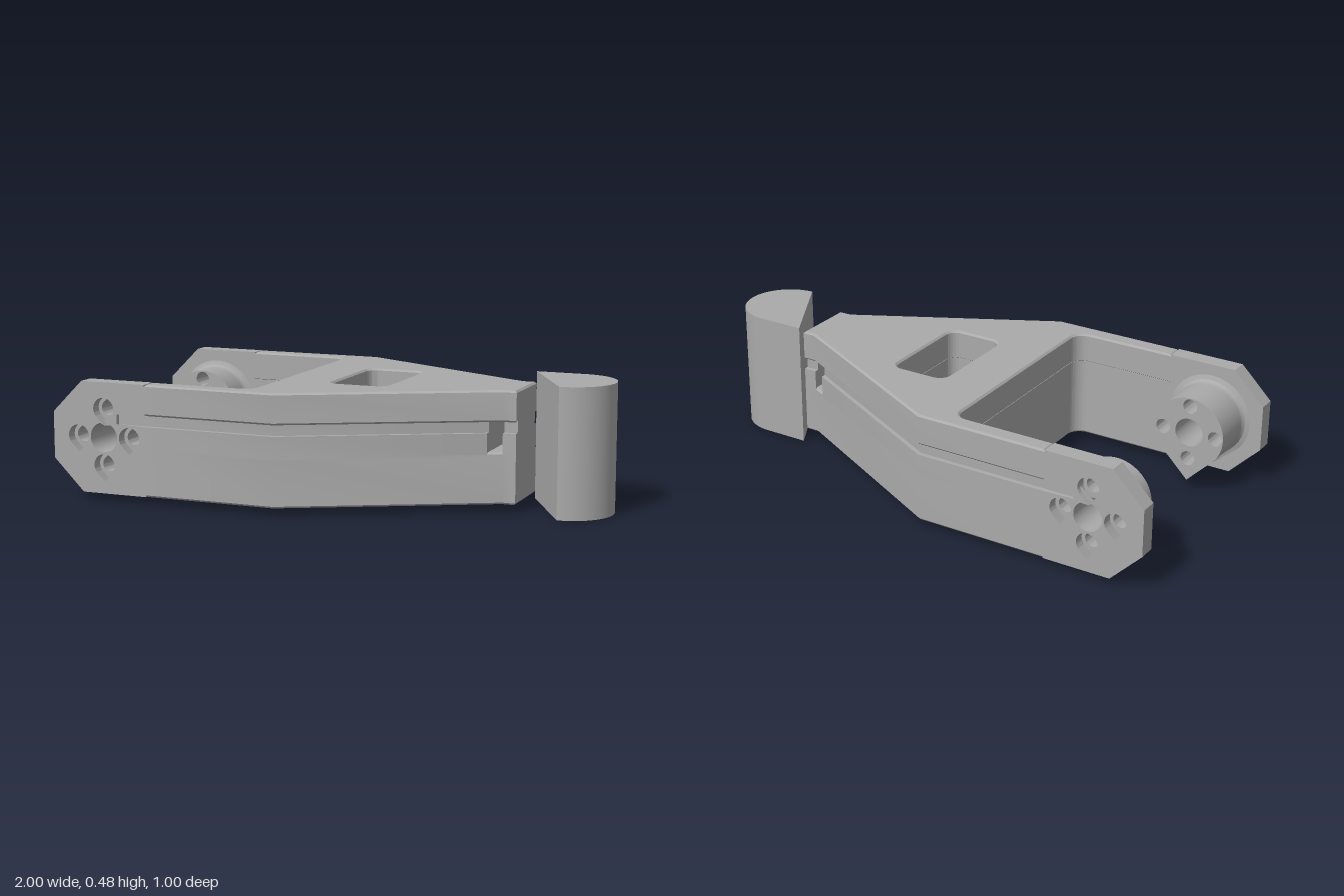
import * as THREE from 'three';
import { toCreasedNormals } from 'three/addons/utils/BufferGeometryUtils.js';

const PIVOT = { x: -0.79, y: 0.24 };   // centre of the bolt pattern
const ARM_IN = 0.435, ARM_OUT = 0.5;   // arm thickness range in z
const GROOVE = 0.018, BORE = 0.04;     // groove and counterbore depths
const JOIN = -0.62;                    // where the arm ends meet the frame

// Circle with a pointed tip, up (dir 1) or down (dir -1)
function teardrop(Type, x, y, r, dir, tip = Math.SQRT2) {
  const p = new Type();
  const a = Math.acos(1 / tip), mid = dir * Math.PI / 2;
  p.absarc(x, y, r, mid + a, mid - a + Math.PI * 2, false);
  p.lineTo(x, y + dir * r * tip);
  p.closePath();
  return p;
}

function circle(x, y, r) {
  return new THREE.Path().absarc(x, y, r, 0, Math.PI * 2, true);
}

// Four bolt positions around the pivot
function boltHoles(make) {
  return [0, 1, 2, 3].map(i => make(
    PIVOT.x + 0.105 * Math.cos(i * Math.PI / 2),
    PIVOT.y + 0.105 * Math.sin(i * Math.PI / 2)));
}

// Half width of the frame along x
function halfWidth(x) {
  return x < -0.11 ? 0.5 : Math.max(0.12, 0.5 - (x + 0.11) * 0.38 / 0.73);
}

// Forked, tapering plan outline with the light opening
function framePlan(inset, xEnd) {
  const s = new THREE.Shape();
  const xs = [JOIN, -0.11, Math.min(0.62, xEnd)];
  if (xEnd > 0.62) xs.push(xEnd);
  const side = xs.map(x => [x, halfWidth(x) - inset]);
  s.moveTo(JOIN, -ARM_OUT + inset);
  side.slice(1).forEach(([x, z]) => s.lineTo(x, -z));
  side.slice().reverse().forEach(([x, z]) => s.lineTo(x, z));
  s.lineTo(JOIN, ARM_IN);
  s.absarc(-0.27, ARM_IN - 0.05, 0.05, Math.PI / 2, 0, true);
  s.absarc(-0.27, -ARM_IN + 0.05, 0.05, 0, -Math.PI / 2, true);
  s.lineTo(JOIN, -ARM_IN);
  s.closePath();
  const h = new THREE.Path(), r = 0.04;
  h.absarc(0.2 - r, 0.2 - r, r, 0, Math.PI / 2);
  h.absarc(-0.02 + r, 0.2 - r, r, Math.PI / 2, Math.PI);
  h.absarc(-0.02 + r, -0.2 + r, r, Math.PI, Math.PI * 1.5);
  h.absarc(0.2 - r, -0.2 + r, r, Math.PI * 1.5, Math.PI * 2);
  h.closePath();
  s.holes.push(h);
  return s;
}

// Side outline of an arm end, optionally notched for the groove
function armEnd(notched, holes) {
  const pts = [[-0.88, 0.03], [JOIN, 0.03]];
  if (notched) pts.push([JOIN, 0.29], [-0.735, 0.29], [-0.735, 0.33], [JOIN, 0.33]);
  pts.push([JOIN, 0.445], [-0.88, 0.445], [-1, 0.325], [-1, 0.15]);
  const s = new THREE.Shape(pts.map(p => new THREE.Vector2(...p)));
  s.holes.push(circle(PIVOT.x, PIVOT.y, 0.055), ...holes);
  return s;
}

export function createModel() {
  const group = new THREE.Group();
  const grey = new THREE.MeshStandardMaterial({ color: 0xaaaaaa });
  grey.name = 'plain grey';

  function add(name, geometry, parent = group) {
    const mesh = new THREE.Mesh(toCreasedNormals(geometry, 0.5), grey);
    mesh.name = name;
    parent.add(mesh);
  }

  // Horizontal slab from a plan shape, with optional chamfered rims
  function slab(name, shape, y0, y1, bevel = 0) {
    const g = new THREE.ExtrudeGeometry(shape, {
      depth: y1 - y0 - 2 * bevel, curveSegments: 24, bevelEnabled: bevel > 0,
      bevelThickness: bevel, bevelSize: bevel, bevelOffset: -bevel, bevelSegments: 1,
    });
    g.translate(0, 0, y0 + bevel);
    g.rotateX(-Math.PI / 2);
    add(name, g);
  }

  // Upright plate between two depths, on the front (1) or back (-1) side
  function plate(name, shape, z0, z1, side, parent) {
    const g = new THREE.ExtrudeGeometry(shape, { depth: z1 - z0, curveSegments: 24, bevelEnabled: false });
    g.translate(0, 0, side > 0 ? z0 : -z1);
    add(name, g, parent);
  }

  // Frame in layers: the recessed layer forms the side groove
  slab('lowerFrame', framePlan(0, 0.67), 0.03, 0.22, 0.007);
  slab('middleFrame', framePlan(0, 0.57), 0.205, 0.29);
  slab('grooveFloor', framePlan(GROOVE, 0.57), 0.285, 0.335);
  slab('upperFrame', framePlan(0, 0.67), 0.33, 0.445, 0.007);

  // Neck beyond the cross slot
  const neck = new THREE.BoxGeometry(0.05, 0.085, 0.24);
  neck.translate(0.645, 0.2475, 0);
  add('neck', neck);
  const neckGroove = new THREE.BoxGeometry(0.05, 0.06, 0.24 - 2 * GROOVE);
  neckGroove.translate(0.645, 0.31, 0);
  add('neckGrooveFloor', neckGroove);

  // Rounded knuckle
  const knuckle = new THREE.Shape();
  knuckle.moveTo(0.657, -0.163);
  knuckle.absarc(0.837, 0, 0.163, -Math.PI / 2, Math.PI / 2, false);
  knuckle.lineTo(0.657, 0.163);
  knuckle.closePath();
  slab('knuckle', knuckle, 0, 0.477);

  // Arm ends with counterbored bolt holes and inner bosses
  for (const side of [1, -1]) {
    const arm = new THREE.Group();
    arm.name = side > 0 ? 'frontArmEnd' : 'backArmEnd';
    group.add(arm);
    const bores = () => boltHoles((x, y) => teardrop(THREE.Path, x, y, 0.042, -1));
    const drills = () => boltHoles((x, y) => teardrop(THREE.Path, x, y, 0.028, 1));
    plate('outerSkin', armEnd(true, bores()), ARM_OUT - GROOVE, ARM_OUT, side, arm);
    plate('boreLayer', armEnd(false, bores()), ARM_OUT - BORE, ARM_OUT - GROOVE, side, arm);
    plate('innerSkin', armEnd(false, drills()), ARM_IN, ARM_OUT - BORE, side, arm);

    // Boss with a flared root
    const r = 0.137, fillet = 0.025, tipZ = side > 0 ? 0.26 : 0.3;
    const shape = teardrop(THREE.Shape, 0, 0, r, -1);
    shape.holes.push(circle(0, 0, 0.055),
      ...boltHoles((x, y) => circle(x - PIVOT.x, y - PIVOT.y, 0.028)));
    const depth = ARM_IN - tipZ;
    const g = new THREE.ExtrudeGeometry(shape, { depth, steps: 28, curveSegments: 24, bevelEnabled: false });
    g.translate(0, 0, side > 0 ? tipZ : -ARM_IN);
    const p = g.attributes.position;
    for (let i = 0; i < p.count; i++) {
      const x = p.getX(i), y = p.getY(i), d = Math.hypot(x, y);
      const t = Math.max(0, 1 - (ARM_IN - Math.abs(p.getZ(i))) / fillet);
      if (d < r * 0.99 || t === 0) continue;
      const k = 1 + fillet * (1 - Math.sqrt(Math.max(0, 1 - t * t))) / r;
      p.setXY(i, x * k, Math.max(y * k, 0.032 - PIVOT.y));
    }
    g.translate(PIVOT.x, PIVOT.y, 0);
    add('boss', g, arm);
  }

  return group;
}
